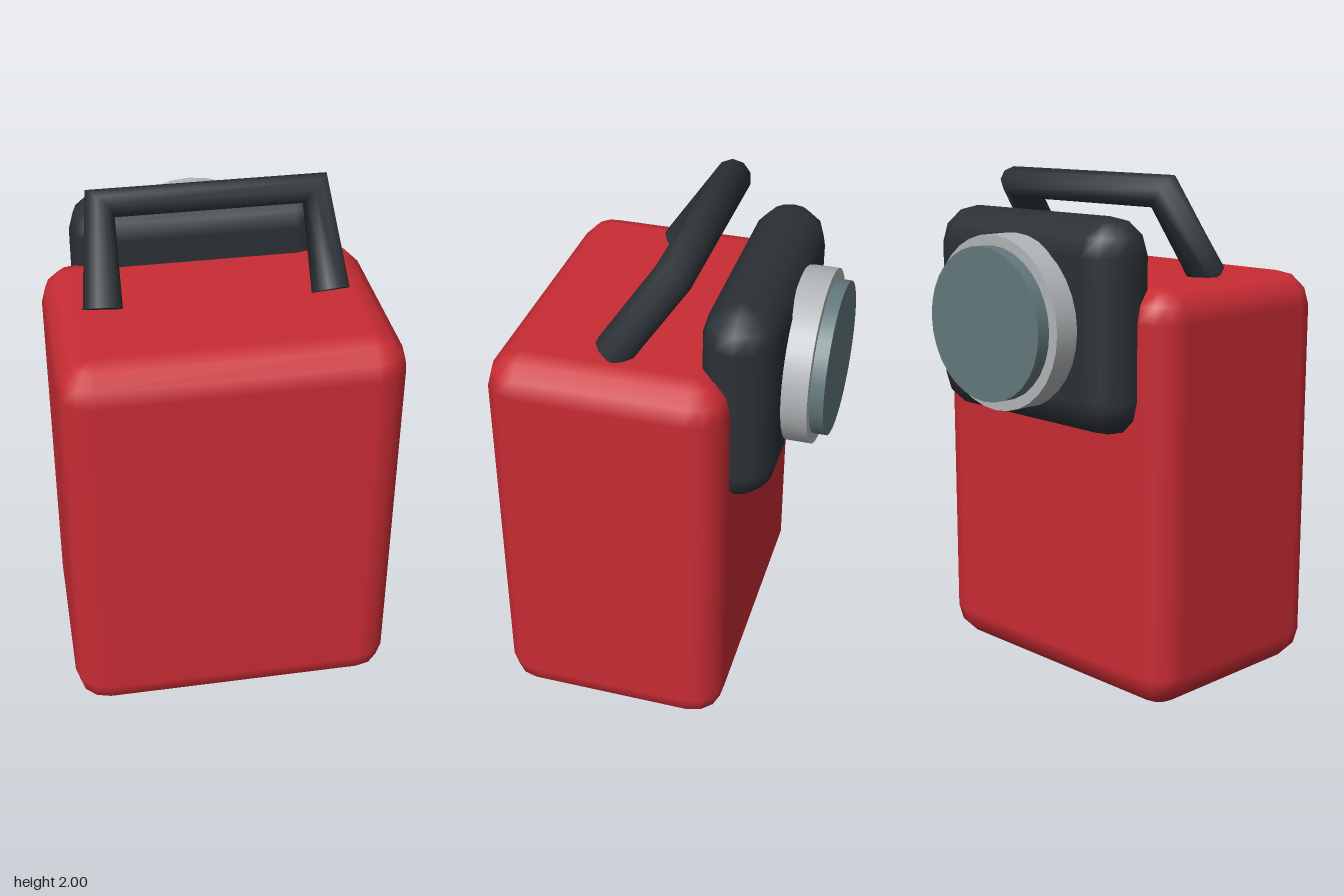
import * as THREE from 'three';

const material = (color, extra = {}) => new THREE.MeshStandardMaterial({ color, ...extra });

// Box with three-step rounded edges and corners, smooth normals
function roundedBox(w, h, d, r, steps = 3) {
  const pos = [], nor = [], idx = [];
  const cols = 4 * (steps + 1), rows = 2 * (steps + 1);
  const step = Math.PI / 2 / steps;
  for (let j = 0; j < rows; j++) {
    const half = Math.floor(j / (steps + 1));
    const phi = half * Math.PI / 2 + (j % (steps + 1)) * step;
    for (let i = 0; i < cols; i++) {
      const q = Math.floor(i / (steps + 1));
      const th = q * Math.PI / 2 + (i % (steps + 1)) * step;
      const n = [Math.sin(phi) * Math.cos(th), Math.cos(phi), Math.sin(phi) * Math.sin(th)];
      const sx = q === 0 || q === 3 ? 1 : -1, sy = half ? -1 : 1, sz = q < 2 ? 1 : -1;
      nor.push(...n);
      pos.push(n[0] * r + sx * (w / 2 - r), n[1] * r + sy * (h / 2 - r), n[2] * r + sz * (d / 2 - r));
    }
  }
  for (let j = 0; j < rows - 1; j++) {
    for (let i = 0; i < cols; i++) {
      const a = j * cols + i, b = j * cols + (i + 1) % cols;
      idx.push(a, b, b + cols, a, b + cols, a + cols);
    }
  }
  // flat top and bottom
  const k = steps + 1, last = (rows - 1) * cols;
  idx.push(0, 2 * k, k, 0, 3 * k, 2 * k);
  idx.push(last, last + k, last + 2 * k, last, last + 2 * k, last + 3 * k);
  const g = new THREE.BufferGeometry();
  g.setAttribute('position', new THREE.Float32BufferAttribute(pos, 3));
  g.setAttribute('normal', new THREE.Float32BufferAttribute(nor, 3));
  g.setIndex(idx);
  return g;
}

// Tube along straight runs: one ring per point, set on the bisector at each bend
function bentTube(points, planeNormal, radius, sides) {
  const pos = [], idx = [];
  points.forEach((p, i) => {
    const tangent = new THREE.Vector3();
    if (i > 0) tangent.add(p.clone().sub(points[i - 1]).normalize());
    if (i < points.length - 1) tangent.add(points[i + 1].clone().sub(p).normalize());
    tangent.normalize();
    const side = new THREE.Vector3().crossVectors(tangent, planeNormal).normalize();
    for (let s = 0; s < sides; s++) {
      const a = s / sides * Math.PI * 2;
      const v = p.clone().addScaledVector(side, Math.cos(a) * radius)
        .addScaledVector(planeNormal, Math.sin(a) * radius);
      pos.push(v.x, v.y, v.z);
      if (i < points.length - 1) {
        const c = i * sides + s, n = i * sides + (s + 1) % sides;
        idx.push(c, n + sides, c + sides, c, n, n + sides);
      }
    }
  });
  // separate end caps
  for (const end of [0, points.length - 1]) {
    const base = pos.length / 3;
    for (let s = 0; s < sides * 3; s++) pos.push(pos[end * sides * 3 + s]);
    for (let s = 1; s < sides - 1; s++) {
      if (end === 0) idx.push(base, base + s + 1, base + s);
      else idx.push(base, base + s, base + s + 1);
    }
  }
  const g = new THREE.BufferGeometry();
  g.setAttribute('position', new THREE.Float32BufferAttribute(pos, 3));
  g.setIndex(idx);
  g.computeVertexNormals();
  return g;
}

export function createModel() {
  const model = new THREE.Group();
  model.name = 'lantern';
  const red = material(0xc92c34), dark = material(0x2c3136);

  const add = (name, geometry, mat, x, y, z) => {
    const mesh = new THREE.Mesh(geometry, mat);
    mesh.name = name;
    mesh.position.set(x, y, z);
    model.add(mesh);
    return mesh;
  };

  // Body and lamp housing on its back
  add('body', roundedBox(1.28, 1.612, 0.91, 0.13), red, 0, 0.806, 0.145);
  add('lampHousing', roundedBox(1.02, 0.805, 0.285, 0.14), dark, 0, 1.457, -0.312);

  // Slightly oval rim and lens
  const disc = (name, rx, ry, z0, z1, color) => {
    const g = new THREE.CylinderGeometry(1, 1, 1, 32).rotateX(Math.PI / 2);
    g.scale(rx, ry, z0 - z1);
    add(name, g, material(color), 0, 1.455, (z0 + z1) / 2);
  };
  disc('lampRim', 0.349, 0.33, -0.44, -0.552, 0xb2b6b8);
  disc('lens', 0.307, 0.29, -0.46, -0.604, 0x64797d);

  // Carrying handle leaning towards the lamp
  const path = [[-0.43, 1.617, 0.148], [-0.405, 1.938, -0.07], [0.405, 1.938, -0.07], [0.43, 1.617, 0.148]]
    .map(p => new THREE.Vector3(...p));
  const across = new THREE.Vector3(0, 0.218, 0.321).normalize();
  add('handle', bentTube(path, across, 0.074, 10),
    material(0x2c3136, { side: THREE.DoubleSide }), 0, 0, 0);

  return model;
}
